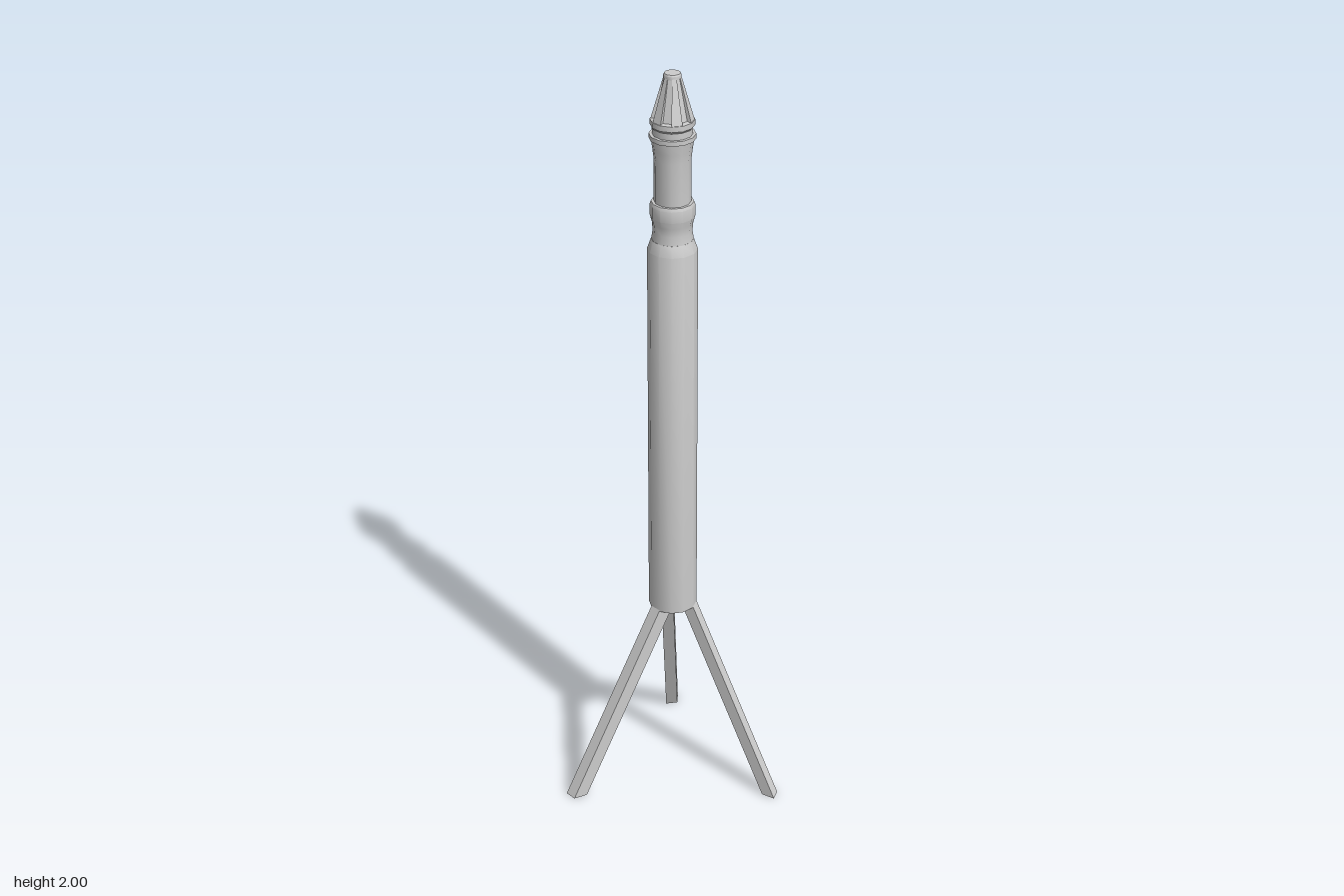
import * as THREE from 'three';
import { toCreasedNormals } from 'three/addons/utils/BufferGeometryUtils.js';

const material = new THREE.MeshStandardMaterial({ color: 0xcccccc });

function addMesh(parent, name, geometry) {
  const mesh = new THREE.Mesh(geometry, material);
  mesh.name = name;
  parent.add(mesh);
  return mesh;
}

// Twelve-sided turned part, smooth around and sharp at strong profile corners
function turned(points) {
  const profile = points.map(([r, y]) => new THREE.Vector2(r, y));
  return toCreasedNormals(new THREE.LatheGeometry(profile, 12), 0.58);
}

// Closed solid between two horizontal loops, counterclockwise from above
function loft(bottom, top) {
  const n = bottom.length;
  const centre = (loop) => [0, 1, 2].map((k) => loop.reduce((s, p) => s + p[k], 0) / n);
  const cb = centre(bottom);
  const ct = centre(top);
  const positions = [];
  for (let i = 0; i < n; i++) {
    const j = (i + 1) % n;
    const tris = [
      bottom[i], bottom[j], top[j],
      bottom[i], top[j], top[i],
      ct, top[i], top[j],
      cb, bottom[j], bottom[i],
    ];
    positions.push(...tris.flat());
  }
  const geometry = new THREE.BufferGeometry();
  geometry.setAttribute('position', new THREE.Float32BufferAttribute(positions, 3));
  geometry.computeVertexNormals();
  return geometry;
}

// Loop of alternating raised and recessed 30 degree sectors
function ribbedLoop(outer, inner, y) {
  const loop = [];
  for (let i = 0; i < 12; i++) {
    const r = i % 2 ? inner : outer;
    for (const a of [i, i + 1]) {
      const angle = (a * Math.PI) / 6;
      loop.push([r * Math.sin(angle), y, r * Math.cos(angle)]);
    }
  }
  return loop;
}

// Skewed four-sided section of a leg, with its outer edge at z
function legLoop(y, z) {
  const depth = 0.037;
  return [
    [-0.031, y, z + 0.008 + depth],
    [0, y, z + depth],
    [0, y, z],
    [-0.031, y, z + 0.008],
  ];
}

export function createModel() {
  const model = new THREE.Group();
  model.name = 'tripodColumn';

  // All parts share one off-centre vertical axis
  const axis = new THREE.Group();
  axis.name = 'column';
  axis.position.set(-0.006, 0, 0.067);
  model.add(axis);

  // Main tube with a bevelled shoulder
  addMesh(axis, 'body', turned([
    [0, 0.516], [0.063, 0.516], [0.063, 1.54], [0.053, 1.568], [0, 1.568],
  ]));

  // Swollen collar above the shoulder
  addMesh(axis, 'collar', turned([
    [0.053, 1.565], [0.049, 1.59], [0.051, 1.612], [0.056, 1.63],
    [0.056, 1.66], [0.053, 1.668], [0, 1.668],
  ]));

  // Slim neck, flaring towards the flange
  addMesh(axis, 'neck', turned([
    [0.046, 1.66], [0.046, 1.78], [0.049, 1.805], [0.053, 1.833], [0, 1.833],
  ]));

  // Thin projecting flange and the ring carrying the nose
  addMesh(axis, 'flange', turned([
    [0, 1.833], [0.058, 1.833], [0.058, 1.845], [0, 1.845],
  ]));
  addMesh(axis, 'noseRing', turned([
    [0.05, 1.845], [0.05, 1.862], [0.055, 1.868], [0.055, 1.882], [0, 1.89],
  ]));

  // Tapered nose with six ribs
  addMesh(axis, 'ribbedNose', loft(
    ribbedLoop(0.054, 0.043, 1.88),
    ribbedLoop(0.022, 0.02, 1.99),
  ));
  addMesh(axis, 'noseTip', turned([
    [0.022, 1.988], [0.022, 1.996], [0.02, 2], [0, 2],
  ]));

  // Three splayed legs
  const legGeometry = loft(legLoop(0, -0.321), legLoop(0.525, -0.06));
  for (let i = 0; i < 3; i++) {
    const leg = addMesh(axis, `leg${i + 1}`, legGeometry);
    leg.rotation.y = (i * Math.PI * 2) / 3;
  }
  return model;
}
